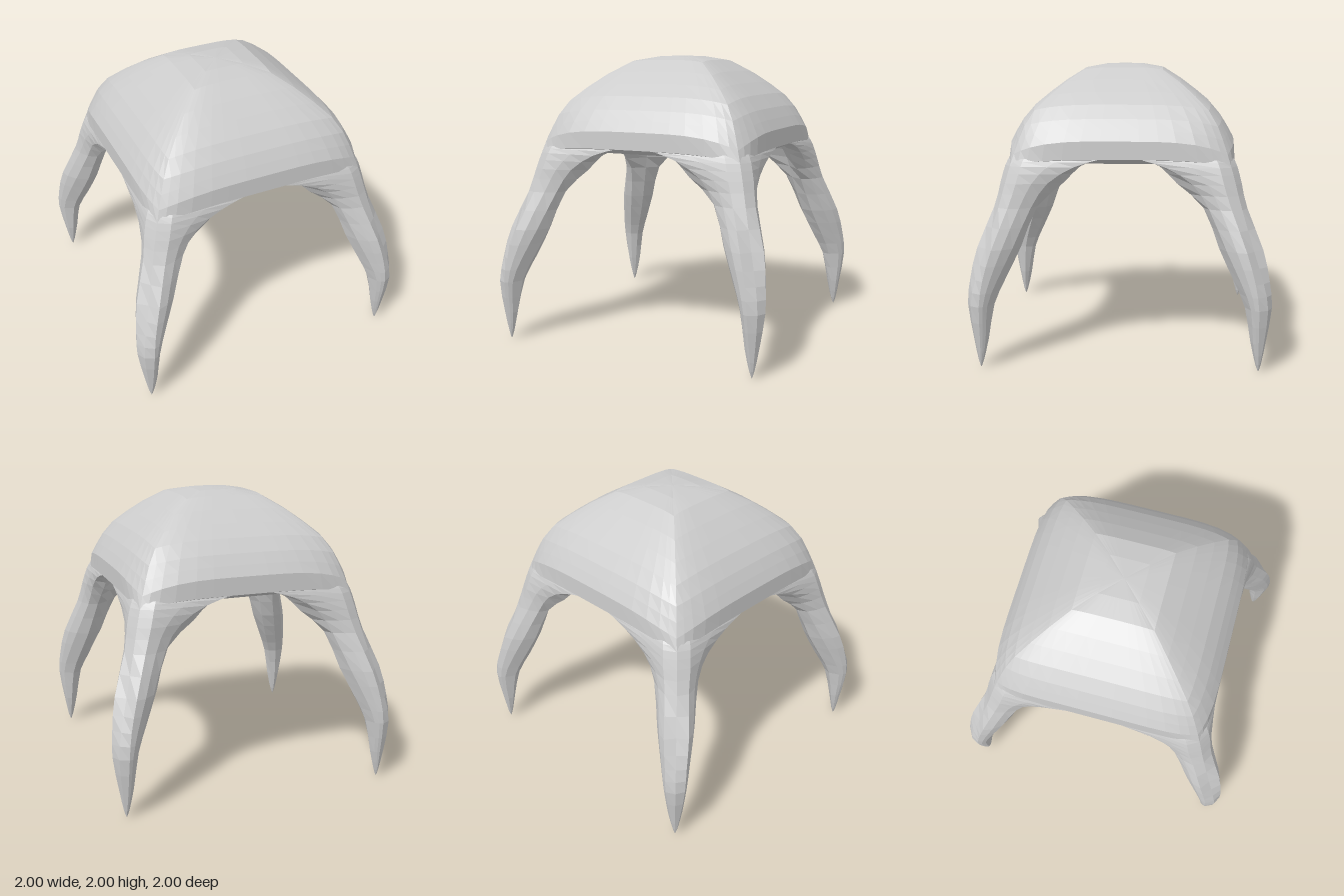
import * as THREE from 'three';

const material = new THREE.MeshStandardMaterial({ color: 0xcccccc, flatShading: true, side: THREE.DoubleSide });

// Slightly narrower front to back in the upper part
const warp = ([x, y, z]) => [x, y, z * (1 - 0.025 * THREE.MathUtils.clamp((y - 0.45) / 0.7, 0, 1))];

// Quarter turns about the vertical axis
function turn([x, y, z], quarters) {
  for (let i = 0; i < quarters; i++) [x, z] = [-z, x];
  return [x, y, z];
}

// Skin a list of closed loops, each with the same number of points
function loft(name, rows) {
  const n = rows[0].length;
  const index = [];
  for (let r = 0; r < rows.length - 1; r++) {
    for (let k = 0; k < n; k++) {
      const a = r * n + k, b = r * n + (k + 1) % n;
      index.push(a, b, a + n, b, b + n, a + n);
    }
  }
  const geometry = new THREE.BufferGeometry();
  geometry.setAttribute('position', new THREE.Float32BufferAttribute(rows.flat().flatMap(warp), 3));
  geometry.setIndex(index);
  geometry.computeVertexNormals();
  const mesh = new THREE.Mesh(geometry, material);
  mesh.name = name;
  return mesh;
}

// Rounded square loop: half width, height mid side, corner reach, corner height
const steps = [1, 0.93, 0.84, 0.7, 0.52, 0.36, 0.18, 0, -0.18, -0.36, -0.52, -0.7, -0.84, -0.93];
function squareRing([half, yMid, corner, yCorner]) {
  const ring = [];
  for (let side = 0; side < 4; side++) {
    for (const t of steps) {
      const y = yMid + (yCorner - yMid) * t ** 4;
      ring.push(turn([t * corner, y, half + (corner - half) * t ** 6], side));
    }
  }
  return ring;
}

// Canopy: from the crown, down over the rim and back to the ceiling centre
const canopyRings = [
  [0, 2, 0, 2],
  [0.14, 1.995, 0.14, 1.99],
  [0.28, 1.97, 0.28, 1.955],
  [0.41, 1.89, 0.405, 1.87],
  [0.52, 1.81, 0.51, 1.78],
  [0.62, 1.73, 0.6, 1.69],
  [0.7, 1.64, 0.66, 1.59],
  [0.745, 1.57, 0.695, 1.5],
  [0.785, 1.5, 0.725, 1.41],
  [0.79, 1.38, 0.75, 1.33],
  [0.71, 1.345, 0.68, 1.345],
  [0.5, 1.365, 0.48, 1.365],
  [0, 1.37, 0, 1.37],
];

// Leg levels: y, outer corner, ridge x and z, front edge x and z, inner edge x and z, inner corner
const legLevels = [
  [1.38, 0.73, 0.65, 0.77, 0.14, 0.785, 0.14, 0.71, 0.52],
  [1.33, 0.75, 0.67, 0.795, 0.31, 0.79, 0.27, 0.72, 0.56],
  [1.22, 0.78, 0.7, 0.825, 0.49, 0.79, 0.385, 0.73, 0.61],
  [1.06, 0.82, 0.75, 0.86, 0.6, 0.805, 0.565, 0.74, 0.645],
  [0.8, 0.89, 0.84, 0.955, 0.71, 0.885, 0.665, 0.8, 0.71],
  [0.6, 0.945, 0.89, 0.99, 0.8, 0.94, 0.755, 0.86, 0.78],
  [0.43, 0.97, 0.91, 1, 0.86, 0.97, 0.825, 0.9, 0.845],
  [0.2, 0.95, 0.915, 0.965, 0.88, 0.95, 0.865, 0.915, 0.885],
  [0.05, 0.93, 0.92, 0.937, 0.905, 0.93, 0.9, 0.92, 0.907],
  [0, 0.92, 0.92, 0.92, 0.92, 0.92, 0.92, 0.92, 0.92],
];

// Insert a smoothly interpolated level between each pair
function refine(levels) {
  const last = levels.length - 1;
  return levels.flatMap((level, i) => {
    if (i === last) return [level];
    const before = levels[Math.max(i - 1, 0)], next = levels[i + 1], after = levels[Math.min(i + 2, last)];
    return [level, level.map((v, k) => (9 * (v + next[k]) - before[k] - after[k]) / 16)];
  });
}

// Angled leg section, symmetrical about the diagonal
function legSection([y, c, m, f, a, e, b, d, i]) {
  const half = [[m, f], [(m + a) / 2, 0.7 * f + 0.3 * e], [a, e], [b, d]];
  const mirrored = half.map(([x, z]) => [z, x]).reverse();
  return [[c, c], ...half, [i, i], ...mirrored].map(([x, z]) => [x, y, z]);
}

export function createModel() {
  const group = new THREE.Group();
  group.name = 'fourLeggedCanopy';
  group.add(loft('canopy', canopyRings.map(squareRing)));

  // One leg at each corner
  const sections = refine(legLevels).map(legSection);
  const names = ['frontLeftLeg', 'frontRightLeg', 'backRightLeg', 'backLeftLeg'];
  names.forEach((name, q) => {
    group.add(loft(name, sections.map((section) => section.map((p) => turn(p, q)))));
  });
  return group;
}
